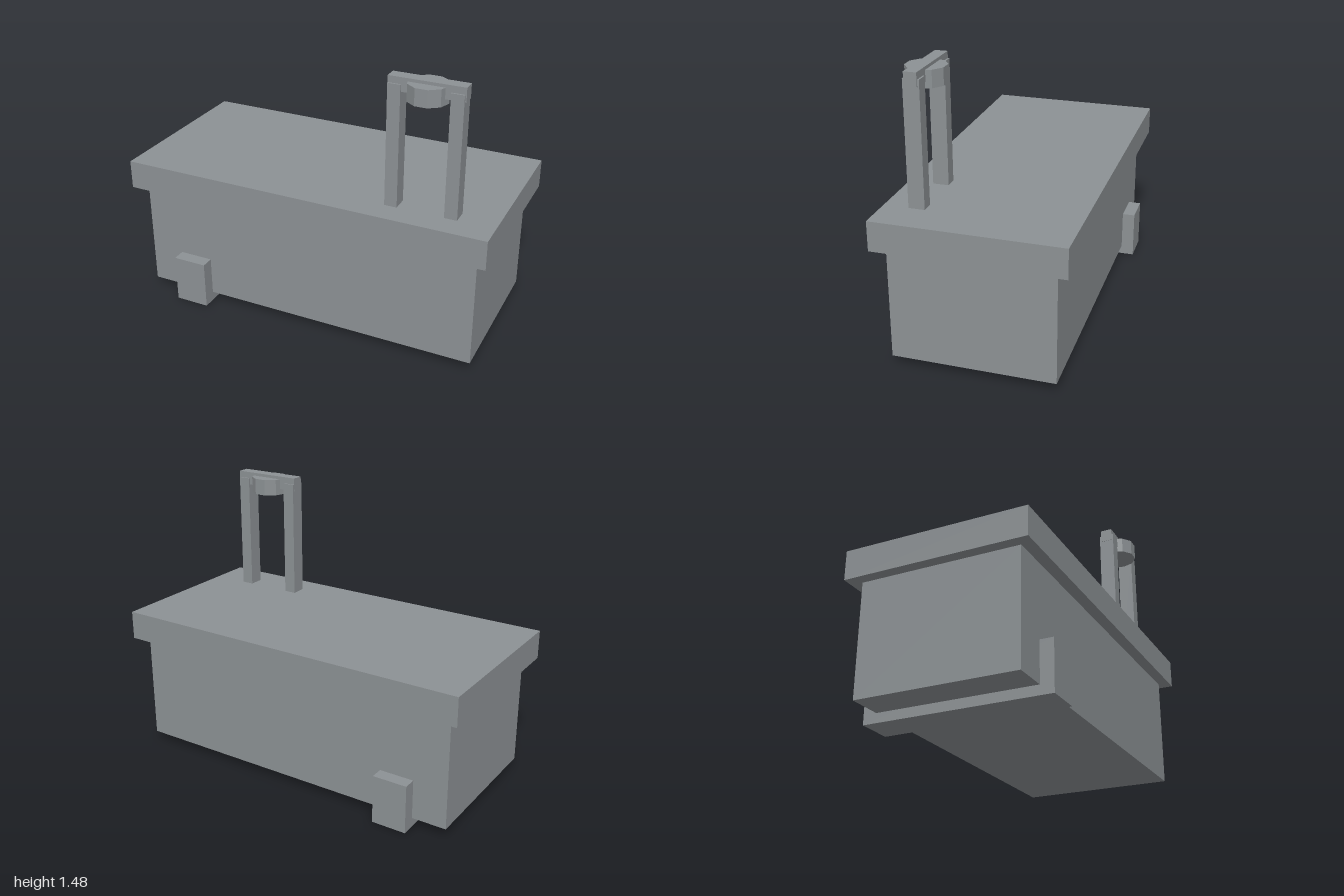
import * as THREE from 'three';

export function createModel() {
  const model = new THREE.Group();
  const grey = new THREE.MeshStandardMaterial({ color: 0x8c9194 });
  grey.name = 'grey';

  function add(name, geometry, x, y, z) {
    const mesh = new THREE.Mesh(geometry, grey);
    mesh.name = name;
    mesh.position.set(x, y, z);
    model.add(mesh);
  }

  // Box given by its extents along each axis
  function box(name, [x0, x1], [y0, y1], [z0, z1]) {
    add(name, new THREE.BoxGeometry(x1 - x0, y1 - y0, z1 - z0),
      (x0 + x1) / 2, (y0 + y1) / 2, (z0 + z1) / 2);
  }

  // Main body with overhanging slab
  box('body', [-0.94, 0.94], [0.05, 0.645], [-0.42, 0.42]);
  box('topSlab', [-1, 1], [0.645, 0.8], [-0.483, 0.483]);

  // Support running under the body and up both sides
  box('crossSupport', [-0.754, -0.567], [0, 0.262], [-0.49, 0.49]);

  // Frame: two posts and a crossbar
  for (const [name, x] of [['rightPost', 0.463], ['leftPost', 0.774]]) {
    box(name, [x - 0.033, x + 0.033], [0.8, 1.44], [0.271, 0.354]);
  }
  box('crossbar', [0.428, 0.813], [1.403, 1.475], [0.28, 0.345]);

  // Ten-sided wheel head hung in the crossbar
  const head = new THREE.CylinderGeometry(0.103, 0.103, 0.088, 10, 1, false, Math.PI / 2).toNonIndexed();
  head.computeVertexNormals();
  add('wheelHead', head, 0.619, 1.415, 0.3125);

  return model;
}
